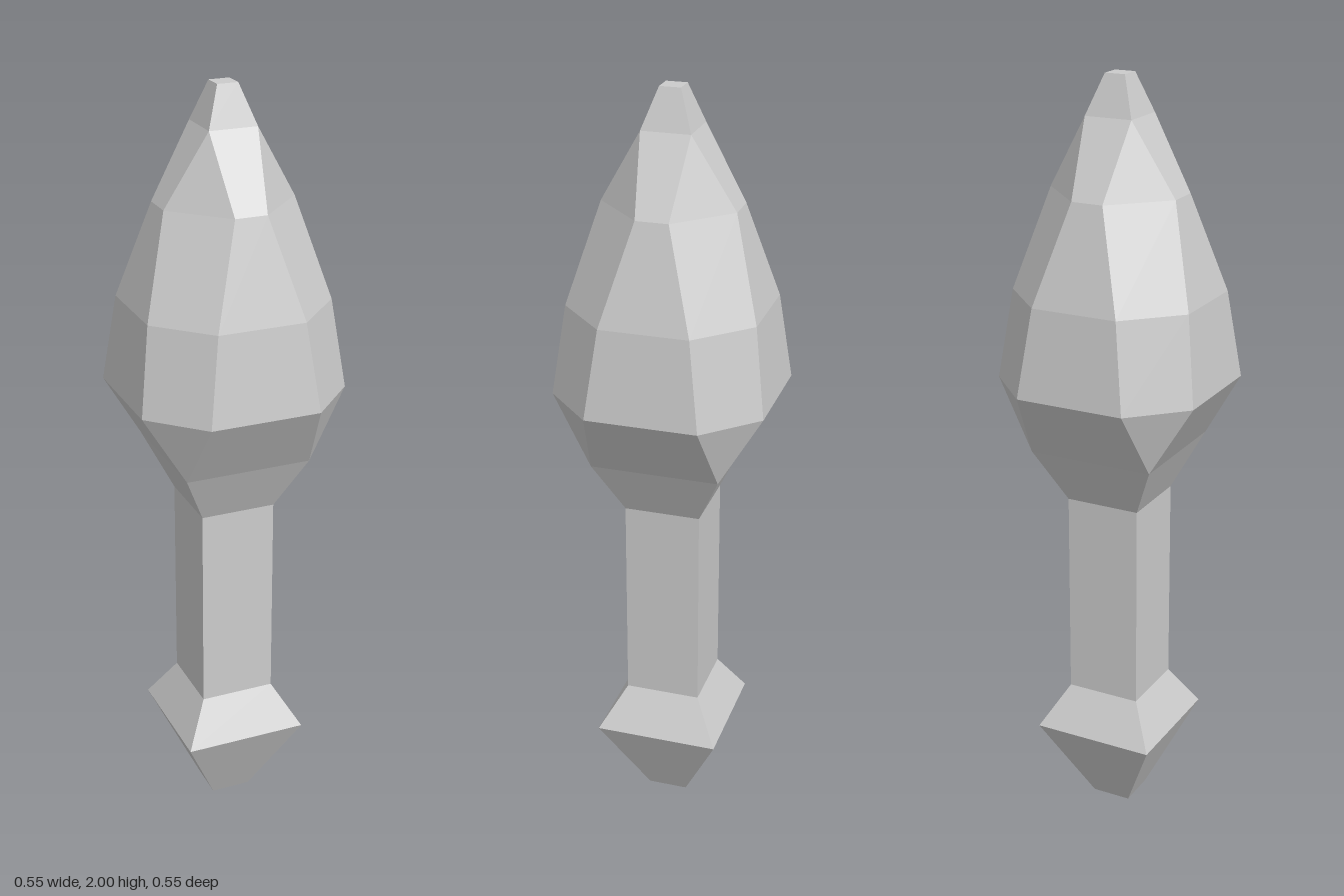
import * as THREE from 'three';

// Square section of half-width h with corners cut so each flat side has half-length c
function section([y, h, c = h]) {
  return [[h, -c], [h, c], [c, h], [-c, h], [-h, c], [-h, -c], [-c, -h], [c, -h]]
    .map(([x, z]) => new THREE.Vector3(x, y, z));
}

// Faceted skin through a stack of sections, optionally closed at either end
function loft(name, levels, capBottom, capTop, material) {
  const rings = levels.map(section);
  const points = [];
  const tri = (a, b, c) => {
    if (new THREE.Triangle(a, b, c).getArea() > 1e-7) points.push(a, b, c);
  };
  for (let r = 0; r < rings.length - 1; r++) {
    const low = rings[r], high = rings[r + 1];
    for (let i = 0; i < 8; i++) {
      const j = (i + 1) % 8;
      tri(low[i], high[i], low[j]);
      tri(low[j], high[i], high[j]);
    }
  }
  const first = rings[0], last = rings[rings.length - 1];
  for (let i = 1; i < 7; i++) {
    if (capBottom) tri(first[0], first[i], first[i + 1]);
    if (capTop) tri(last[0], last[i + 1], last[i]);
  }
  const geometry = new THREE.BufferGeometry().setFromPoints(points);
  geometry.computeVertexNormals();
  const mesh = new THREE.Mesh(geometry, material);
  mesh.name = name;
  return mesh;
}

export function createModel() {
  const group = new THREE.Group();
  group.name = 'club';
  const material = new THREE.MeshStandardMaterial({ color: 0xcccccc, flatShading: true });

  // Each level: height, half-width, half-length of the flat side (if corners are cut)
  const pommel = [[0, 0.053], [0.237, 0.165], [0.35, 0.1]];
  const grip = [[0.35, 0.1], [0.905, 0.1]];
  const head = [
    [0.905, 0.1], [1.05, 0.168], [1.23, 0.275, 0.145], [1.46, 0.245, 0.115],
    [1.715, 0.172, 0.042], [1.9, 0.063], [2, 0.027],
  ];

  group.add(
    loft('pommel', pommel, true, false, material),
    loft('grip', grip, false, false, material),
    loft('head', head, false, true, material),
  );
  return group;
}
